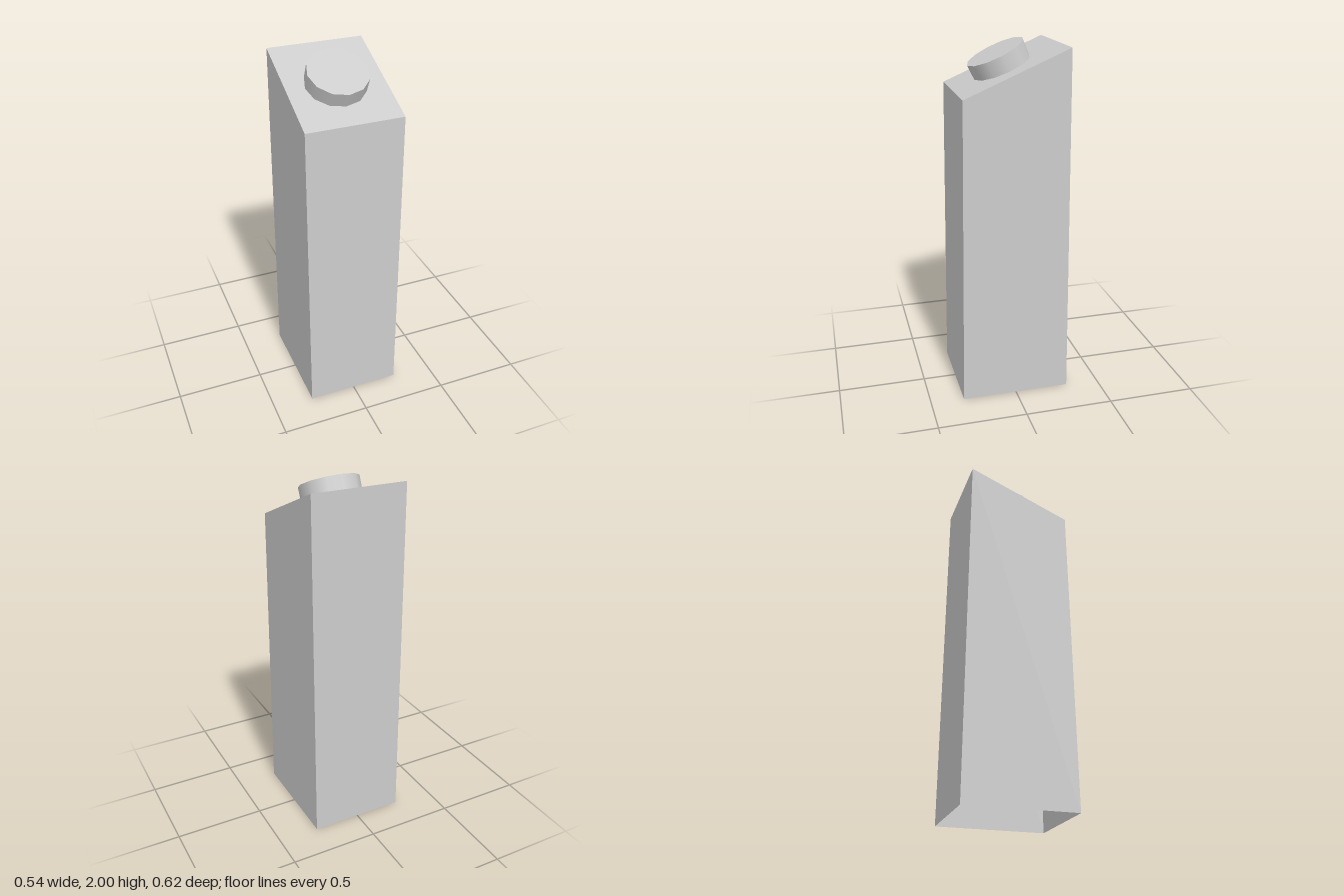
import * as THREE from 'three';

const HALF_WIDTH = 0.269;
const FRONT_TOP = { y: 1.735, z: 0.285 };
const BACK_TOP = { y: 1.975, z: -0.285 };
const slope = (FRONT_TOP.y - BACK_TOP.y) / (FRONT_TOP.z - BACK_TOP.z);
const slopeY = (z) => FRONT_TOP.y + slope * (z - FRONT_TOP.z);

// Hollow tapered shell with a slanted top and no floor
function makeBody() {
  // Side outline as [y, z]: front foot, front top, back top, back foot
  const outline = [[0, 0.31], [FRONT_TOP.y, FRONT_TOP.z], [BACK_TOP.y, BACK_TOP.z], [0, -0.31]];
  const corners = [-1, 1].map((s) => outline.map(([y, z]) => [s * HALF_WIDTH, y, z]));
  const [right, left] = corners;
  const positions = [];
  const quad = (a, b, c, d) => positions.push(...a, ...b, ...c, ...a, ...c, ...d);

  // Front wall, slanted top and back wall
  for (let i = 0; i < 3; i++) quad(right[i], left[i], left[i + 1], right[i + 1]);
  // Flat side walls
  quad(left[0], left[3], left[2], left[1]);
  quad(right[0], right[1], right[2], right[3]);

  const geometry = new THREE.BufferGeometry();
  geometry.setAttribute('position', new THREE.Float32BufferAttribute(positions, 3));
  geometry.computeVertexNormals();
  return geometry;
}

// Twelve-sided stud leaning with the slope, its lower rim resting on it
function makeStud() {
  const height = 0.09;
  const geometry = new THREE.CylinderGeometry(0.165, 0.165, height, 12);

  // Drop the hidden lower cap
  const lowerCap = geometry.groups[2].start;
  geometry.setIndex(Array.from(geometry.index.array).slice(0, lowerCap));
  geometry.clearGroups();

  const position = geometry.attributes.position;
  const isLower = Array.from({ length: position.count }, (_, i) => position.getY(i) < 0);
  geometry.translate(0, -height / 2, 0);
  geometry.rotateX(THREE.MathUtils.degToRad(25));
  geometry.translate(-0.002, 1.931, 0.053);
  isLower.forEach((lower, i) => {
    if (lower) position.setY(i, slopeY(position.getZ(i)));
  });
  return geometry;
}

export function createModel() {
  const group = new THREE.Group();
  group.name = 'slopedBrick';
  const material = new THREE.MeshStandardMaterial({ color: 0xcccccc, side: THREE.DoubleSide });
  const parts = { body: makeBody(), stud: makeStud() };
  for (const [name, geometry] of Object.entries(parts)) {
    const mesh = new THREE.Mesh(geometry, material);
    mesh.name = name;
    group.add(mesh);
  }
  return group;
}
